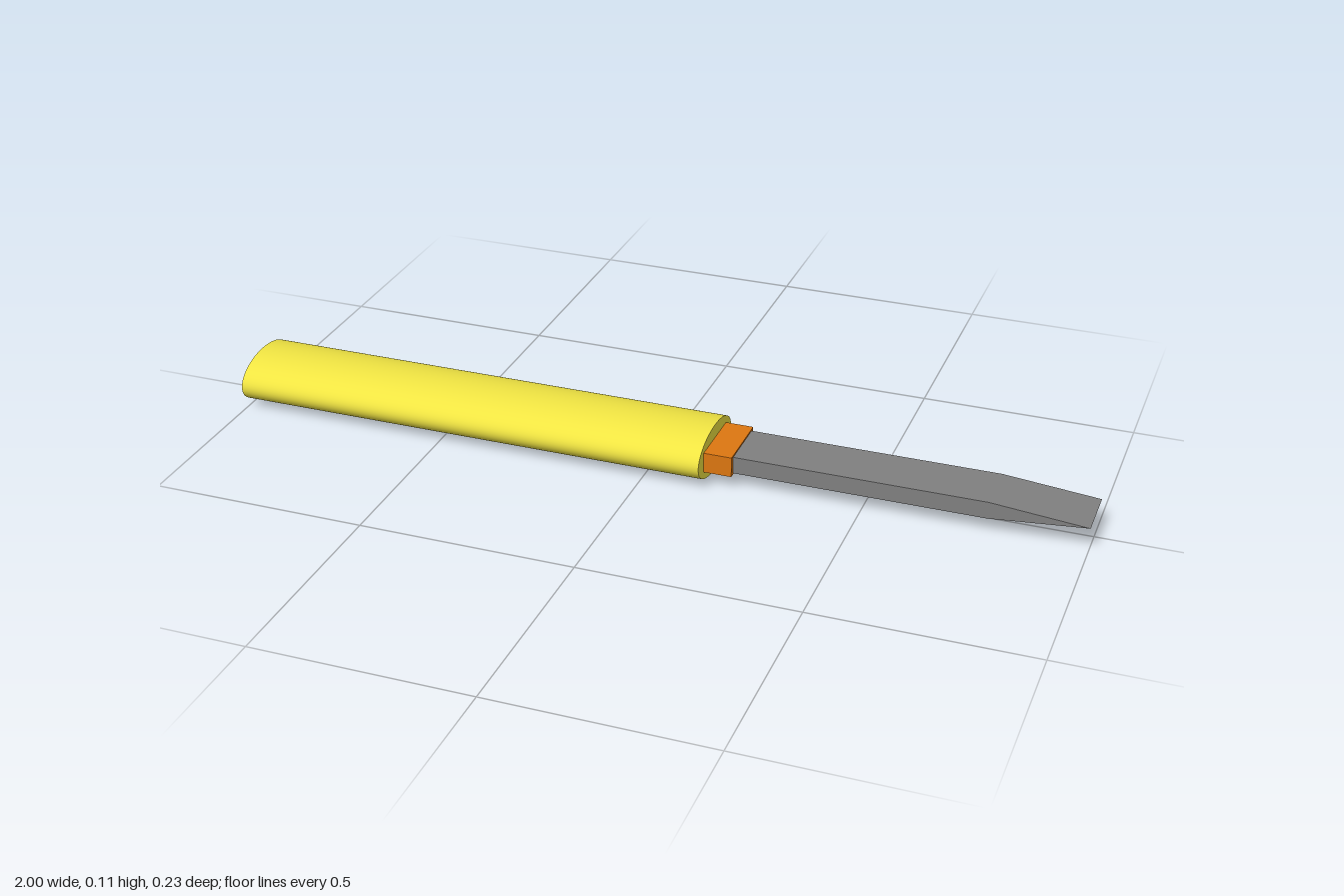
import * as THREE from 'three';

const MID = 0.057; // height of the tool's long axis

function part(name, geometry, color, flatShading = false) {
  const mesh = new THREE.Mesh(geometry, new THREE.MeshStandardMaterial({ color, flatShading }));
  mesh.name = name;
  return mesh;
}

export function createModel() {
  const group = new THREE.Group();
  group.name = 'chisel';

  // Handle: a cylinder laid along x, squashed to an oval section
  const handle = new THREE.CylinderGeometry(0.114, 0.114, 1.14, 64);
  handle.rotateZ(-Math.PI / 2).scale(1, 0.5, 1).translate(-0.43, MID, 0);
  group.add(part('handle', handle, 0xf0e442));

  // Collar between handle and blade
  const collar = new THREE.BoxGeometry(0.065, 0.048, 0.155);
  collar.translate(0.1725, MID, 0);
  group.add(part('collar', collar, 0xdd7711, true));

  // Blade: side profile tapering to a sharp edge, extruded across z
  const profile = new THREE.Shape();
  profile.moveTo(0.205, -0.02);
  profile.lineTo(0.78, -0.02);
  profile.lineTo(1, 0);
  profile.lineTo(0.78, 0.02);
  profile.lineTo(0.205, 0.02);
  profile.closePath();
  const blade = new THREE.ExtrudeGeometry(profile, { depth: 0.132, bevelEnabled: false });
  blade.translate(0, MID, -0.066);
  group.add(part('blade', blade, 0x808080, true));

  return group;
}
